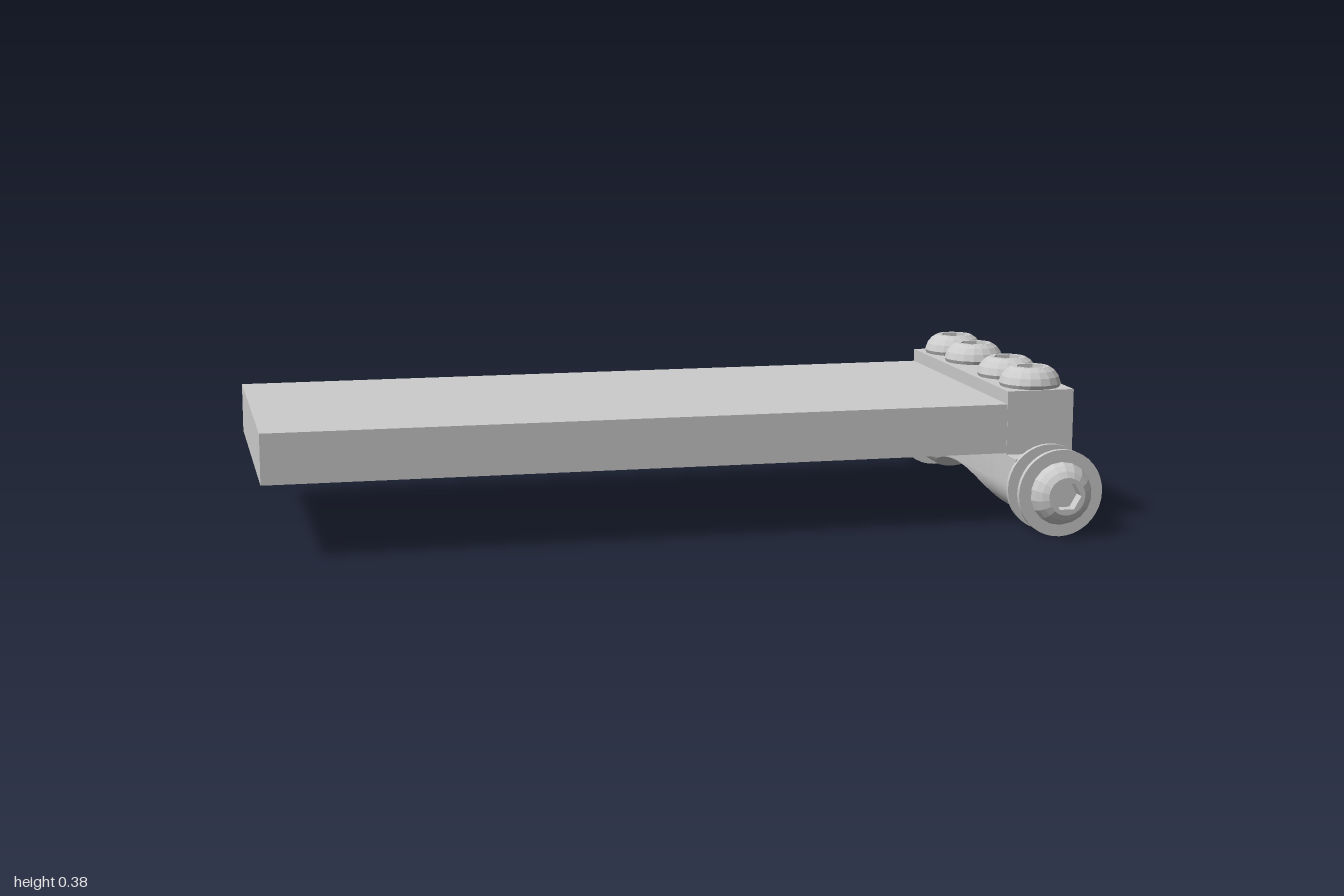
import * as THREE from 'three';
import { toCreasedNormals } from 'three/addons/utils/BufferGeometryUtils.js';

const grey = new THREE.MeshStandardMaterial({ color: 0xcccccc });
const faceted = new THREE.MeshStandardMaterial({ color: 0xcccccc, flatShading: true });

const AXLE_X = 0.89, AXLE_Y = 0.11, AXLE_R = 0.085;

function add(parent, name, geometry, material = grey) {
  const mesh = new THREE.Mesh(geometry, material);
  mesh.name = name;
  parent.add(mesh);
  return mesh;
}

function box(parent, name, x0, x1, y0, y1, halfZ) {
  const mesh = add(parent, name, new THREE.BoxGeometry(x1 - x0, y1 - y0, halfZ * 2));
  mesh.position.set((x0 + x1) / 2, (y0 + y1) / 2, 0);
}

// Axle housing: U-shaped section swept along z, its underside cut by an arch
function housingGeometry() {
  const halfLength = 0.42, top = 0.18, archHalf = 0.28, archTop = 0.097, archR = 0.58;
  const arcSteps = 12, zSteps = 32;
  const zs = [-halfLength];
  for (let i = 0; i <= zSteps; i++) zs.push(-archHalf + (2 * archHalf * i) / zSteps);
  zs.push(halfLength);

  const positions = [], index = [];
  const ring = 2 + 2 * (arcSteps + 1);
  for (const z of zs) {
    const arch = archTop - archR + Math.sqrt(archR * archR - z * z);
    const floor = Math.max(arch, AXLE_Y - AXLE_R + 0.0003);
    const cut = Math.asin((AXLE_Y - floor) / AXLE_R);
    positions.push(AXLE_X + AXLE_R, top, z, AXLE_X - AXLE_R, top, z);
    for (const side of [-1, 1]) {
      for (let k = 0; k <= arcSteps; k++) {
        const a = (cut * (side < 0 ? k : arcSteps - k)) / arcSteps;
        positions.push(AXLE_X + side * AXLE_R * Math.cos(a), AXLE_Y - AXLE_R * Math.sin(a), z);
      }
    }
  }
  for (let i = 0; i < zs.length - 1; i++) {
    for (let j = 0; j < ring; j++) {
      const a = i * ring + j, b = i * ring + ((j + 1) % ring);
      index.push(a, b, b + ring, a, b + ring, a + ring);
    }
  }
  const last = (zs.length - 1) * ring;
  for (let j = 1; j < ring - 1; j++) {
    index.push(0, j + 1, j, last, last + j, last + j + 1);
  }
  const geometry = new THREE.BufferGeometry();
  geometry.setAttribute('position', new THREE.Float32BufferAttribute(positions, 3));
  geometry.setIndex(index);
  return toCreasedNormals(geometry, 0.4);
}

// Domed screw head with a hexagonal socket, base at y = 0
function screwHead(name) {
  const head = new THREE.Group();
  head.name = name;
  const topR = 0.046, height = 0.05, depth = 0.03, sides = 18;
  const profile = [[0, 0], [0.072, 0], [0.077, 0.01], [0.071, 0.027], [0.06, 0.041], [topR, height]];
  add(head, 'dome', new THREE.LatheGeometry(profile.map(p => new THREE.Vector2(...p)), sides), faceted);

  const polygon = (r, n) => Array.from({ length: n }, (_, i) => {
    const a = (i / n) * Math.PI * 2;
    return new THREE.Vector2(r * Math.cos(a), r * Math.sin(a));
  });
  const rim = new THREE.Shape(polygon(topR, sides));
  rim.holes.push(new THREE.Path(polygon(0.036, 6)));
  const socket = new THREE.ExtrudeGeometry(rim, { depth, bevelEnabled: false });
  socket.rotateX(-Math.PI / 2).translate(0, height - depth, 0);
  add(head, 'hexSocket', socket, faceted);

  const floor = new THREE.CircleGeometry(topR, sides);
  floor.rotateX(-Math.PI / 2).translate(0, height - depth, 0);
  add(head, 'socketFloor', floor);
  return head;
}

// Flanged roller with its bolt, built outward along y
function roller(name) {
  const group = new THREE.Group();
  group.name = name;
  const disc = (part, r0, r1, y0, y1) => {
    add(group, part, new THREE.CylinderGeometry(r1, r0, y1 - y0, 36)).position.y = (y0 + y1) / 2;
  };
  disc('innerFlange', 0.106, 0.106, 0, 0.012);
  disc('rollerCore', 0.068, 0.072, 0.012, 0.073);
  disc('outerFlange', 0.106, 0.106, 0.073, 0.086);
  const bolt = screwHead('axleBolt');
  bolt.position.y = 0.078;
  group.add(bolt);
  return group;
}

export function createModel() {
  const model = new THREE.Group();
  model.name = 'plankWithAxle';

  // Plank and clamp block
  box(model, 'plank', -1, 0.806, 0.184, 0.305, 0.356);
  box(model, 'clampBlock', AXLE_X - AXLE_R, AXLE_X + AXLE_R, 0.17, 0.337, 0.357);
  add(model, 'axleHousing', housingGeometry());

  // Screws along the top of the block
  for (const z of [-0.28, -0.123, 0.123, 0.28]) {
    const screw = screwHead('topScrew');
    screw.position.set(AXLE_X, 0.336, z);
    model.add(screw);
  }

  // A roller at each end of the axle
  for (const side of [-1, 1]) {
    const wheel = roller(side > 0 ? 'frontRoller' : 'backRoller');
    wheel.position.set(AXLE_X, AXLE_Y, side * 0.416);
    wheel.rotation.x = side * Math.PI / 2;
    model.add(wheel);
  }
  return model;
}
